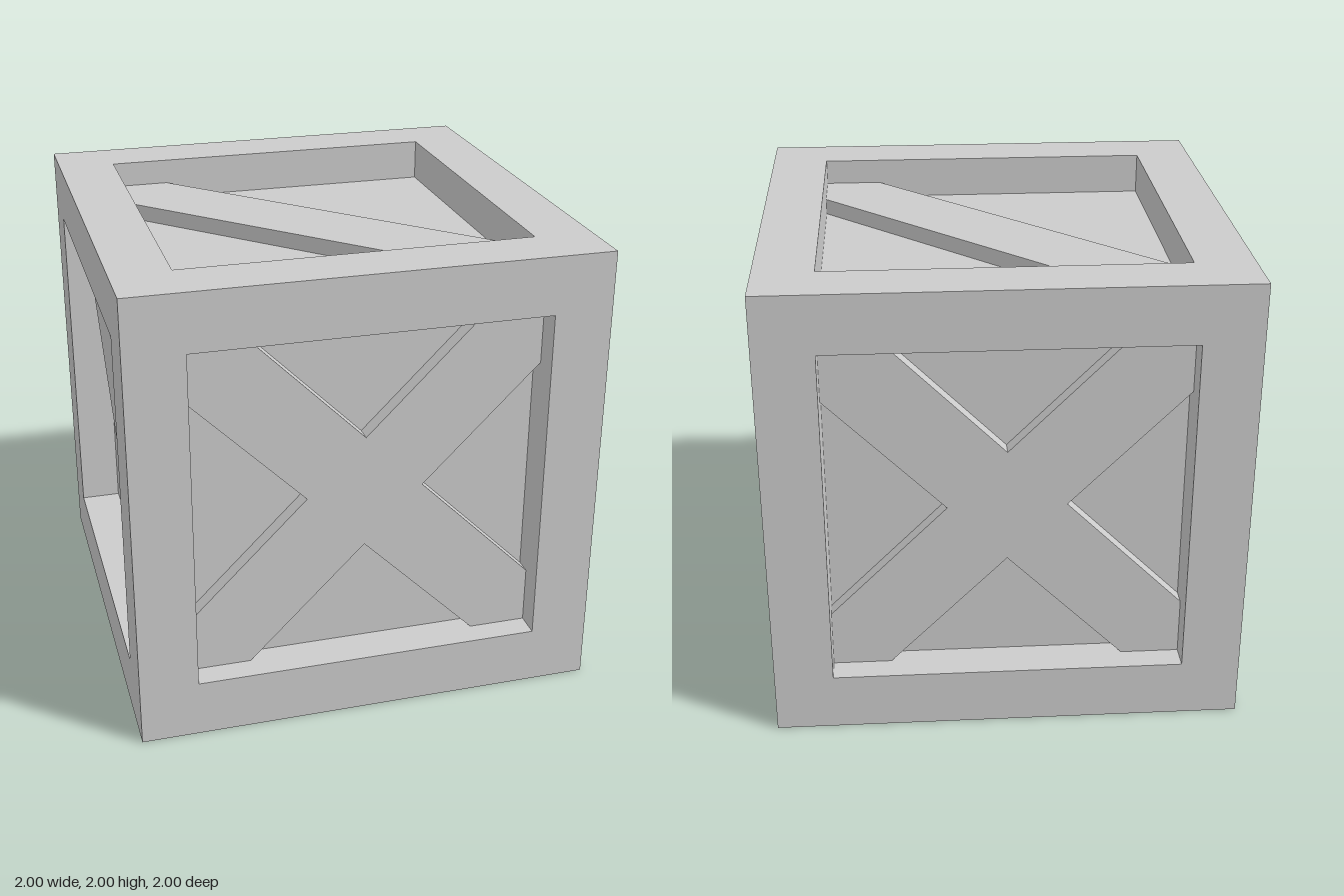
import * as THREE from 'three';

const HALF = 1;         // half the crate's side
const BEAM = 0.25;      // frame beam thickness
const PANEL = 0.82;     // distance of the panels from the centre
const BRACE = 0.89;     // distance of the brace faces from the centre
const OPEN = HALF - BEAM;

const material = new THREE.MeshStandardMaterial({ color: 0xcccccc, flatShading: true });

function addMesh(parent, name, geometry) {
  const mesh = new THREE.Mesh(geometry, material);
  mesh.name = name;
  parent.add(mesh);
  return mesh;
}

// Extrude an outline into a board lying on a panel that faces +z
function boardGeometry(points) {
  const shape = new THREE.Shape(points.map(([x, y]) => new THREE.Vector2(x, y)));
  const geometry = new THREE.ExtrudeGeometry(shape, { depth: BRACE - PANEL, bevelEnabled: false });
  return geometry.translate(0, 0, PANEL);
}

// Single brace from top left to bottom right, fitted into the corners
function diagonalBrace() {
  const a = OPEN, b = OPEN - BEAM;
  return boardGeometry([[-a, a], [-a, b], [b, -a], [a, -a], [a, -b], [-b, a]]);
}

// Crossed braces: one arm repeated by quarter turns
function crossBrace() {
  const a = OPEN, b = OPEN - BEAM;
  const points = [];
  for (let k = 0; k < 4; k++) {
    const c = [1, 0, -1, 0][k], s = [0, 1, 0, -1][k];
    for (const [x, y] of [[BEAM, 0], [a, b], [a, a], [b, a]]) {
      points.push([x * c - y * s, x * s + y * c]);
    }
  }
  return boardGeometry(points);
}

export function createModel() {
  const crate = new THREE.Group();
  crate.name = 'crate';
  const body = new THREE.Group();
  body.name = 'crateBody';
  body.position.y = HALF;
  crate.add(body);

  // Recessed panels
  addMesh(body, 'panels', new THREE.BoxGeometry(2 * PANEL, 2 * PANEL, 2 * PANEL));

  // Frame: four posts and eight rails
  const post = new THREE.BoxGeometry(BEAM, 2 * HALF, BEAM);
  const railX = new THREE.BoxGeometry(2 * OPEN, BEAM, BEAM);
  const railZ = new THREE.BoxGeometry(BEAM, BEAM, 2 * OPEN);
  const offset = HALF - BEAM / 2;
  for (const i of [-offset, offset]) {
    for (const j of [-offset, offset]) {
      addMesh(body, 'cornerPost', post).position.set(i, 0, j);
      addMesh(body, 'crossRail', railX).position.set(0, i, j);
      addMesh(body, 'sideRail', railZ).position.set(i, j, 0);
    }
  }

  // Braces: crossed on front and back, single on the other faces
  const cross = crossBrace();
  const diagonal = diagonalBrace();
  const q = Math.PI / 2;
  addMesh(body, 'frontBrace', cross);
  addMesh(body, 'backBrace', cross).rotation.y = Math.PI;
  addMesh(body, 'leftBrace', diagonal).rotation.y = q;
  addMesh(body, 'rightBrace', diagonal).rotation.y = -q;
  addMesh(body, 'topBrace', diagonal).rotation.x = -q;
  addMesh(body, 'bottomBrace', diagonal).rotation.x = q;

  return crate;
}
